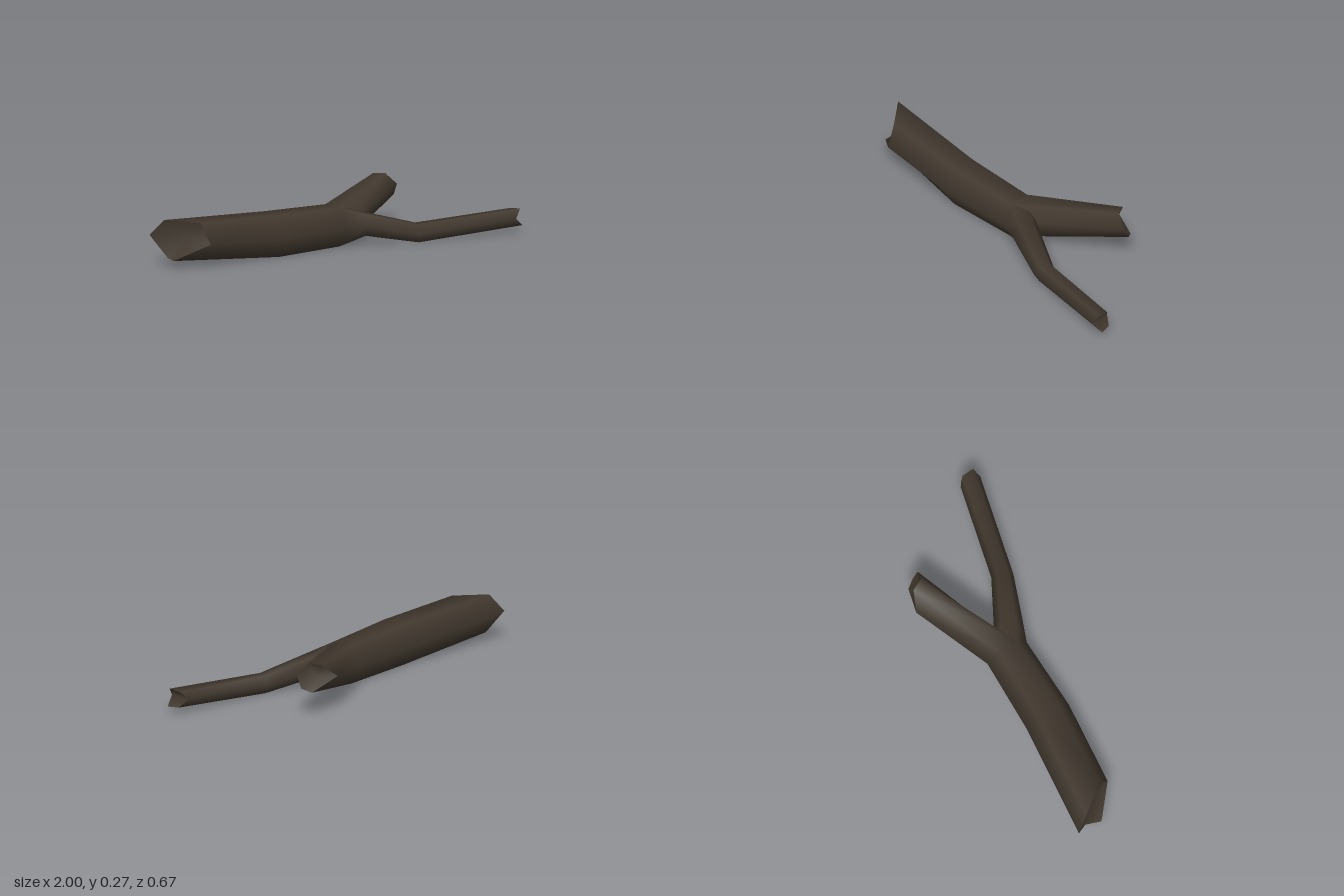
import * as THREE from 'three';

const bark = new THREE.MeshStandardMaterial({ color: 0x41382e });
bark.name = 'dark bark';

// Six-sided ring: front, top front, top back, back, bottom back, bottom front
function hexRing(x, y, z, sideX, sideZ, height) {
  return Array.from({ length: 6 }, (_, j) => {
    const c = Math.cos(j * Math.PI / 3), s = Math.sin(j * Math.PI / 3) / 0.866;
    return [x + sideX * c, y + height * s, z + sideZ * c];
  });
}

function centreOf(ring) {
  const c = new THREE.Vector3();
  ring.forEach(p => c.add(new THREE.Vector3(...p)));
  return c.divideScalar(ring.length);
}

// Skin through the rings, with smooth normals pointing away from the axis
function limb(name, rings) {
  const pos = [], nor = [], idx = [];
  const centres = rings.map(centreOf);
  rings.forEach((ring, i) => {
    const axis = i ? centres[i].clone().sub(centres[i - 1]).normalize() : new THREE.Vector3(1, 0, 0);
    ring.forEach((p, j) => {
      const n = new THREE.Vector3(...p).sub(centres[i]);
      n.addScaledVector(axis, -n.dot(axis)).normalize();
      pos.push(...p);
      nor.push(n.x, n.y, n.z);
      if (i) {
        const k = (j + 1) % 6, a = (i - 1) * 6, b = i * 6;
        idx.push(a + j, b + j, b + k, a + j, b + k, a + k);
      }
    });
  });
  const g = new THREE.BufferGeometry();
  g.setAttribute('position', new THREE.Float32BufferAttribute(pos, 3));
  g.setAttribute('normal', new THREE.Float32BufferAttribute(nor, 3));
  g.setIndex(idx);
  const m = new THREE.Mesh(g, bark);
  m.name = name;
  return m;
}

// Hollowed broken end: a fan to a point sunk inside the limb
function brokenEnd(name, ring, inward, flip) {
  const c = centreOf(ring).add(new THREE.Vector3(...inward));
  const idx = [];
  for (let j = 0; j < 6; j++) {
    const k = (j + 1) % 6;
    idx.push(6, flip ? k : j, flip ? j : k);
  }
  // Ring runs anticlockwise seen from -x, so the +x ends are flipped
  const g = new THREE.BufferGeometry();
  g.setAttribute('position', new THREE.Float32BufferAttribute([...ring.flat(), c.x, c.y, c.z], 3));
  g.setIndex(idx);
  g.computeVertexNormals();
  const m = new THREE.Mesh(g, bark);
  m.name = name;
  return m;
}

export function createModel() {
  const group = new THREE.Group();
  group.name = 'forkedLog';

  // Jagged outlines of the three broken ends
  const trunkEnd = [
    [-0.82, 0.13, 0.06], [-0.84, 0.235, 0], [-0.96, 0.243, -0.145],
    [-1, 0.16, -0.212], [-0.94, 0.045, -0.14], [-0.965, 0.045, -0.06]];
  const frontTip = [
    [0.94, 0.08, 0.334], [0.98, 0.126, 0.315], [0.975, 0.12, 0.25],
    [0.94, 0.08, 0.22], [0.985, 0.04, 0.25], [1, 0.037, 0.31]];
  const backTip = [
    [0.612, 0.215, -0.222], [0.55, 0.275, -0.24], [0.52, 0.27, -0.3],
    [0.43, 0.197, -0.335], [0.58, 0.137, -0.295], [0.612, 0.155, -0.25]];

  // Trunk up to the fork
  const fork = hexRing(0.04, 0.105, -0.03, 0, 0.115, 0.1);
  group.add(limb('trunk', [trunkEnd, hexRing(-0.36, 0.112, -0.025, 0, 0.125, 0.108), fork]));

  // Branches grow from the fork ring and part at the crotch
  const crotch = [0.155, 0.12, -0.02];
  const frontRoot = fork.map((p, j) => (j === 3 ? crotch : p));
  const backRoot = fork.map((p, j) => (j === 0 ? crotch : p));
  group.add(limb('frontBranch', [
    frontRoot,
    hexRing(0.175, 0.11, 0.055, -0.03, 0.068, 0.056),
    hexRing(0.43, 0.05, 0.168, -0.02, 0.053, 0.046),
    frontTip]));
  group.add(limb('backBranch', [backRoot, backTip]));

  // Broken ends
  group.add(brokenEnd('trunkBrokenEnd', trunkEnd, [0.05, 0, 0.005], false));
  group.add(brokenEnd('frontBranchBrokenEnd', frontTip, [-0.03, 0, -0.006], true));
  group.add(brokenEnd('backBranchBrokenEnd', backTip, [-0.04, -0.006, 0.018], true));

  // The ring order decides the outward side of each end
  group.children.slice(-3).forEach(m => {
    const sign = m.name === 'trunkBrokenEnd' ? -1 : 1;
    const n = m.geometry.attributes.normal;
    if (n.getX(6) * sign < 0) {
      m.geometry.setIndex(Array.from(m.geometry.index.array).reverse());
      m.geometry.computeVertexNormals();
    }
  });
  return group;
}
